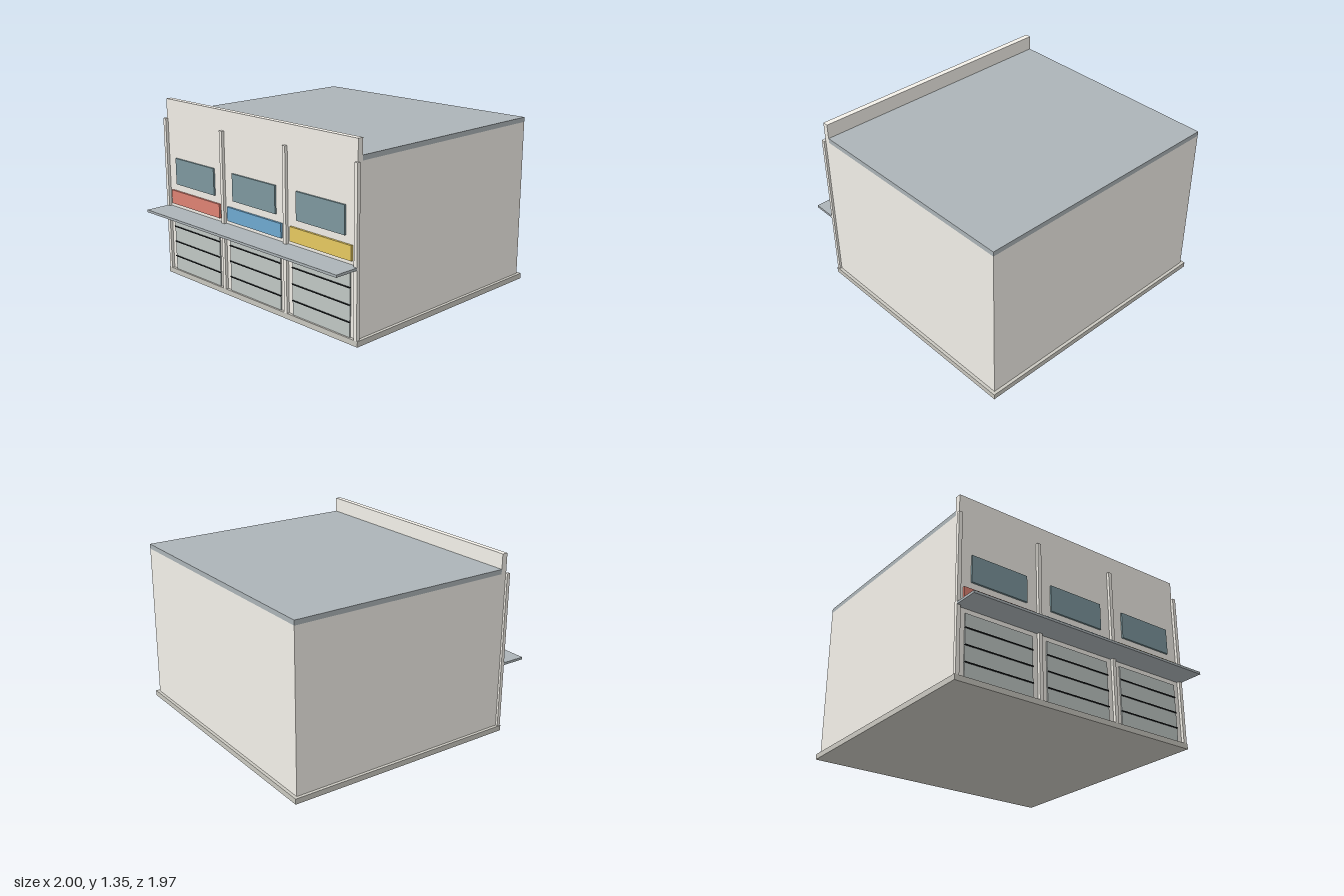
import * as THREE from 'three';

const mats = {};
for (const [key, color] of Object.entries({
  wall: 0xf4f1ea, base: 0xcbc9c1, roof: 0xacb4b8, glass: 0x7f9aa1, door: 0xc3cac7,
  groove: 0x1c2022, red: 0xe18475, blue: 0x70abd3, yellow: 0xe9cc62,
})) mats[key] = new THREE.MeshStandardMaterial({ color });

// Box given by its extents along each axis
function block(name, mat, [x0, x1], [y0, y1], [z0, z1]) {
  const mesh = new THREE.Mesh(new THREE.BoxGeometry(x1 - x0, y1 - y0, z1 - z0), mats[mat]);
  mesh.position.set((x0 + x1) / 2, (y0 + y1) / 2, (z0 + z1) / 2);
  mesh.name = name;
  return mesh;
}

const around = (centre, width) => [centre - width / 2, centre + width / 2];

export function createModel() {
  const model = new THREE.Group();
  model.name = 'shopBuilding';
  const front = 0.78, back = -0.96, bay = 0.653;
  const wide = [-0.977, 0.977];

  // Main volume
  model.add(
    block('basePlinth', 'base', [-1, 1], [0, 0.04], [-0.983, 0.802]),
    block('walls', 'wall', wide, [0.04, 1.203], [back, front]),
    block('roof', 'roof', wide, [1.203, 1.238], [back, 0.737]),
    block('parapet', 'wall', wide, [1.203, 1.348], [0.737, front]),
    block('canopy', 'roof', [-0.993, 0.993], [0.515, 0.533], [front, 0.983]),
  );

  // Pilasters between and beside the bays
  for (let i = 0; i < 4; i++) {
    const x = (i - 1.5) * bay;
    model.add(block('pilaster', 'wall', around(x, 0.028), [0.04, 1.203], [front - 0.004, 0.802]));
  }

  // Three shop bays: shutter with grooves, sign panel, window
  ['red', 'blue', 'yellow'].forEach((signColor, i) => {
    const x = (i - 1) * bay;
    const unit = new THREE.Group();
    unit.name = 'shopBay';
    unit.add(
      block('shutterDoor', 'door', around(x, 0.535), [0.04, 0.48], [front - 0.01, 0.789]),
      block('signPanel', signColor, around(x, 0.566), [0.56, 0.663], [front - 0.01, 0.796]),
      block('window', 'glass', around(x, 0.447), [0.716, 0.914], [front - 0.01, 0.793]),
    );
    for (const y of [0.145, 0.262, 0.38]) {
      unit.add(block('shutterGroove', 'groove', around(x, 0.535), around(y, 0.007), [front, 0.796]));
    }
    model.add(unit);
  });

  return model;
}
